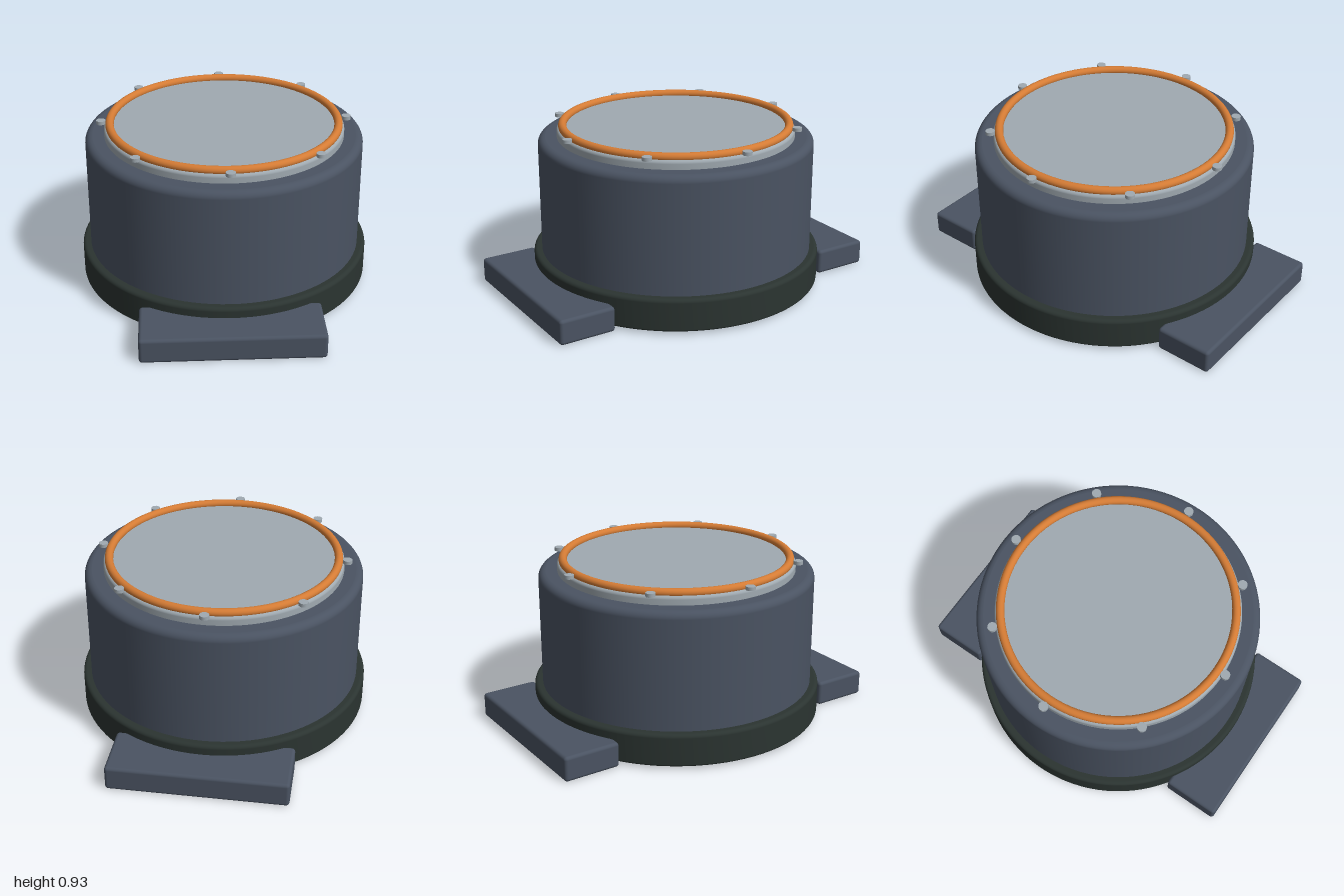
import * as THREE from 'three';
import { RoundedBoxGeometry } from 'three/addons/geometries/RoundedBoxGeometry.js';

const material = (name, color) => new THREE.MeshStandardMaterial({ name, color });

// Solid disc from y0 to y1 with rounded rims, split at the flats so they shade flat
function roundedDisc(radius, y0, y1, bottomRound, topRound) {
  const pts = [];
  const steps = 6;
  const e = 0.001;
  const arc = (cy, r, from) => {
    for (let i = 0; i <= steps; i++) {
      const a = from + (i / steps) * Math.PI / 2;
      pts.push(new THREE.Vector2(radius - r + r * Math.cos(a), cy + r * Math.sin(a)));
    }
  };
  pts.push(new THREE.Vector2(0, y0), new THREE.Vector2(radius - bottomRound - e, y0));
  arc(y0 + bottomRound, bottomRound, -Math.PI / 2);
  arc(y1 - topRound, topRound, 0);
  pts.push(new THREE.Vector2(radius - topRound - e, y1), new THREE.Vector2(0, y1));
  return new THREE.LatheGeometry(pts, 96);
}

export function createModel() {
  const slate = material('slate', 0x4a5362);
  const darkGreen = material('darkGreen', 0x2b3431);
  const silver = material('silver', 0xa0aab1);
  const orange = material('orange', 0xd57c35);

  const model = new THREE.Group();
  model.name = 'roundHousing';
  const add = (name, geometry, mat, x = 0, y = 0, z = 0) => {
    const mesh = new THREE.Mesh(geometry, mat);
    mesh.name = name;
    mesh.position.set(x, y, z);
    model.add(mesh);
    return mesh;
  };

  // Main drum, its base skirt and the top plate
  add('drum', roundedDisc(0.77, 0.005, 0.85, 0.04, 0.04), slate);
  add('baseSkirt', roundedDisc(0.815, 0.015, 0.197, 0.012, 0.02), darkGreen);
  add('topPlate', roundedDisc(0.665, 0.82, 0.9, 0.015, 0.02), silver);

  // Trim ring around the plate
  const ring = add('trimRing', new THREE.TorusGeometry(0.632, 0.023, 16, 96), orange, 0, 0.908, 0);
  ring.rotation.x = Math.PI / 2;

  // Studs spaced around the ring
  const studGeometry = new THREE.CylinderGeometry(0.026, 0.026, 0.02, 16);
  for (let i = 0; i < 8; i++) {
    const a = (i / 8) * Math.PI * 2;
    add('stud', studGeometry, silver, 0.68 * Math.cos(a), 0.911, 0.68 * Math.sin(a));
  }

  // Mounting lugs at front and back
  const lugGeometry = new RoundedBoxGeometry(0.97, 0.14, 0.32, 3, 0.018);
  add('frontLug', lugGeometry, slate, 0, 0.07, 0.84);
  add('backLug', lugGeometry, slate, 0, 0.07, -0.84);

  return model;
}
